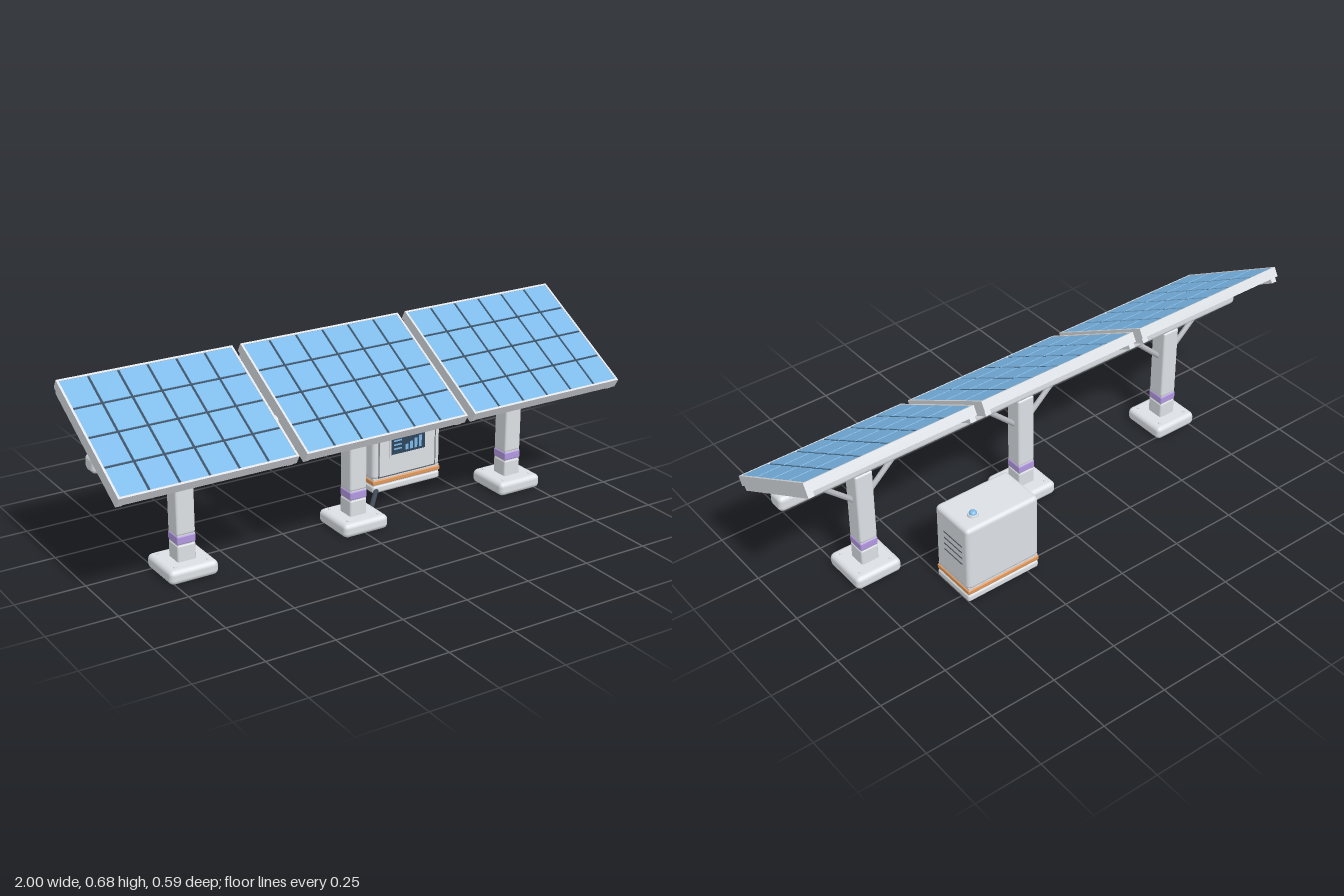
import * as THREE from 'three';
import { RoundedBoxGeometry } from 'three/addons/geometries/RoundedBoxGeometry.js';

const material = (name, color) => new THREE.MeshStandardMaterial({ name, color });

export function createModel() {
  const shell = material('light grey metal', 0xdce0e4);
  const steel = material('brace steel', 0xb6babf);
  const slate = material('slate grey', 0x5c646c);
  const rubber = material('cable rubber', 0x434b58);
  const navy = material('cell navy', 0x2f465c);
  const blue = material('cell blue', 0x7cb9e8);
  const purple = material('purple band', 0xb298e0);
  const orange = material('orange stripe', 0xe39a5c);

  const model = new THREE.Group();
  model.name = 'solarArray';

  const add = (parent, name, geometry, mat, x = 0, y = 0, z = 0) => {
    const mesh = new THREE.Mesh(geometry, mat);
    mesh.name = name;
    mesh.position.set(x, y, z);
    parent.add(mesh);
    return mesh;
  };
  const box = (parent, name, mat, w, h, d, x, y, z) =>
    add(parent, name, new THREE.BoxGeometry(w, h, d), mat, x, y, z);
  const rounded = (parent, name, mat, w, h, d, r, x, y, z) =>
    add(parent, name, new RoundedBoxGeometry(w, h, d, 2, r), mat, x, y, z);
  const group = (name, x = 0, y = 0, z = 0) => {
    const g = new THREE.Group();
    g.name = name;
    g.position.set(x, y, z);
    model.add(g);
    return g;
  };

  const spacing = 0.677;
  const axisZ = 0.07;

  // Horizontal beam carrying all panels
  rounded(model, 'beam', shell, 1.99, 0.059, 0.07, 0.018, 0, 0.458, axisZ);

  // Post with foot, bolts, band, braces and saddle
  function buildPost(x) {
    const post = group('post', x, 0, axisZ);
    rounded(post, 'foot', shell, 0.182, 0.052, 0.182, 0.018, 0, 0.026, 0);
    for (const sx of [-1, 1]) for (const sz of [-1, 1])
      add(post, 'footBolt', new THREE.CylinderGeometry(0.005, 0.007, 0.008, 8), shell, sx * 0.061, 0.0515, sz * 0.061);
    rounded(post, 'lowerColumn', shell, 0.069, 0.075, 0.069, 0.007, 0, 0.0745, 0);
    box(post, 'bandJoint', shell, 0.064, 0.04, 0.064, 0, 0.129, 0);
    rounded(post, 'band', purple, 0.07, 0.031, 0.07, 0.005, 0, 0.129, 0);
    rounded(post, 'upperColumn', shell, 0.069, 0.288, 0.069, 0.008, 0, 0.29, 0);
    rounded(post, 'saddle', shell, 0.11, 0.05, 0.06, 0.008, 0, 0.493, 0);
    for (const s of [-1, 1]) {
      const start = new THREE.Vector3(s * 0.025, 0.315, 0);
      const end = new THREE.Vector3(s * 0.16, 0.44, 0);
      const brace = add(post, 'brace', new THREE.CylinderGeometry(0.01, 0.01, start.distanceTo(end), 12), steel);
      brace.position.copy(start).lerp(end, 0.5);
      brace.quaternion.setFromUnitVectors(new THREE.Vector3(0, 1, 0), end.clone().sub(start).normalize());
    }
  }

  // Tilted panel: frame, backing, 6 x 4 cells and rear ribs
  function buildPanel(x) {
    const W = 0.646, D = 0.507, H = 0.036, rim = 0.008;
    const innerW = W - 2 * rim, innerD = D - 2 * rim;
    const panel = group('panel', x, 0.534, 0.068);
    panel.rotation.x = Math.PI / 6;
    for (const s of [-1, 1]) {
      box(panel, 'frameSide', shell, rim, H, D, s * (W - rim) / 2, 0, 0);
      box(panel, 'frameEnd', shell, innerW, H, rim, 0, 0, s * (D - rim) / 2);
      box(panel, 'rearRail', shell, 0.022, 0.018, 0.487, s * 0.308, -H / 2 - 0.009, 0);
      box(panel, 'crossRib', shell, innerW, 0.012, 0.014, 0, -0.012, s * 0.125);
    }
    box(panel, 'middleRib', shell, 0.014, 0.012, innerD, 0, -0.012, 0);
    box(panel, 'backPlate', shell, innerW, 0.012, innerD, 0, 0, 0);
    box(panel, 'cellBacking', navy, innerW, 0.008, innerD, 0, 0.01, 0);
    const gap = 0.009, pitchX = (innerW + gap) / 6, pitchZ = (innerD + gap) / 4;
    for (let i = 0; i < 6; i++) for (let j = 0; j < 4; j++)
      box(panel, 'cell', blue, pitchX - gap, 0.003, pitchZ - gap, (i - 2.5) * pitchX, 0.0153, (j - 1.5) * pitchZ);
  }

  for (const i of [-1, 0, 1]) {
    buildPost(i * spacing);
    buildPanel(i * spacing);
  }

  // Control cabinet
  const cabinet = group('cabinet', 0.354, 0, -0.204);
  rounded(cabinet, 'plinth', shell, 0.3, 0.031, 0.182, 0.01, 0, 0.0155, 0);
  box(cabinet, 'stripeJoint', shell, 0.292, 0.034, 0.174, 0, 0.042, 0);
  rounded(cabinet, 'stripe', orange, 0.3, 0.018, 0.182, 0.004, 0, 0.042, 0);
  rounded(cabinet, 'housing', shell, 0.3, 0.262, 0.182, 0.016, 0, 0.184, 0);
  box(cabinet, 'doorSeam', slate, 0.256, 0.228, 0.002, 0, 0.173, 0.0905);
  box(cabinet, 'door', shell, 0.246, 0.218, 0.003, 0, 0.173, 0.0908);

  // Display with list lines, bars and an orange marker
  box(cabinet, 'bezel', shell, 0.166, 0.105, 0.006, 0, 0.184, 0.0935);
  box(cabinet, 'screen', navy, 0.15, 0.086, 0.002, 0, 0.186, 0.0962);
  for (let i = 0; i < 4; i++) {
    box(cabinet, 'screenLine', blue, 0.035, 0.006, 0.001, -0.046, 0.212 - i * 0.016, 0.0974);
    const h = 0.022 + i * 0.008;
    box(cabinet, 'screenBar', blue, 0.012, h, 0.001, -0.006 + i * 0.02, 0.152 + h / 2, 0.0974);
  }
  box(cabinet, 'screenMarker', orange, 0.05, 0.006, 0.001, 0.03, 0.218, 0.0974);

  // Vents on one side
  for (let i = 0; i < 4; i++)
    box(cabinet, 'vent', slate, 0.004, 0.005, 0.102, 0.149, 0.154 + i * 0.0255, -0.009);

  // Beacon on the roof
  add(cabinet, 'beaconBase', new THREE.CylinderGeometry(0.018, 0.02, 0.009, 20), shell, 0.081, 0.3185, -0.031);
  const dome = add(cabinet, 'beaconDome',
    new THREE.SphereGeometry(0.014, 20, 8, 0, Math.PI * 2, 0, Math.PI / 2), blue, 0.081, 0.323, -0.031);
  dome.scale.y = 0.8;

  // Ground cable from the middle foot to the cabinet
  const path = new THREE.CatmullRomCurve3([
    new THREE.Vector3(0.07, 0.011, 0.04),
    new THREE.Vector3(0.12, 0.01, 0.0),
    new THREE.Vector3(0.18, 0.01, -0.07),
    new THREE.Vector3(0.23, 0.011, -0.13),
  ]);
  add(model, 'cable', new THREE.TubeGeometry(path, 24, 0.009, 10), rubber);

  return model;
}
